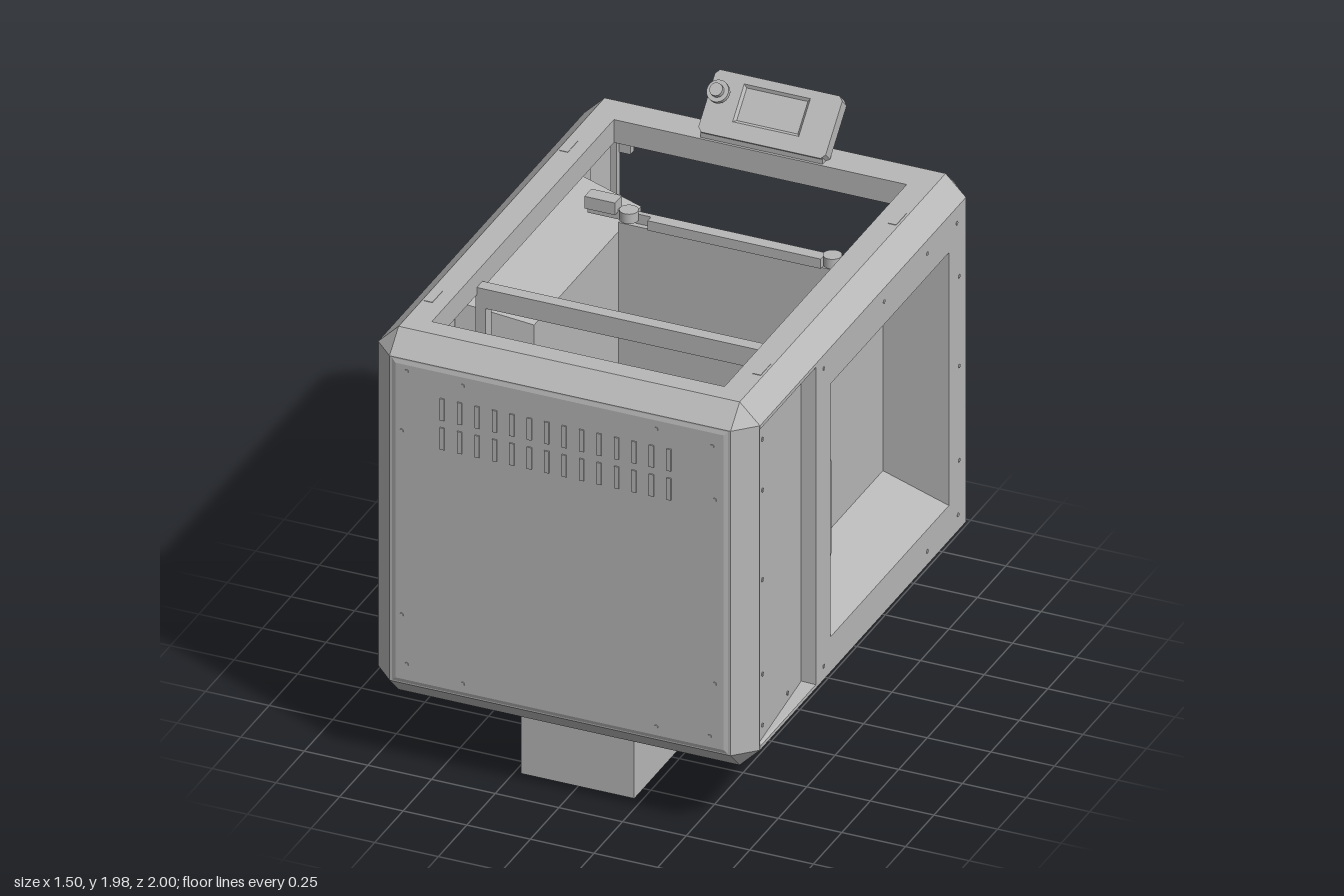
import * as THREE from 'three';

const grey = new THREE.MeshStandardMaterial({ color: 0xb8b8b8, side: THREE.DoubleSide });
grey.name = 'panel grey';

export function createModel() {
  const root = new THREE.Group();
  root.name = 'enclosedPrinter';

  const add = (name, geo, x = 0, y = 0, z = 0, parent = root) => {
    const m = new THREE.Mesh(geo, grey);
    m.name = name;
    m.position.set(x, y, z);
    parent.add(m);
    return m;
  };
  // box given by its limits on each axis
  const box = (name, x0, x1, y0, y1, z0, z1, parent = root) =>
    add(name, new THREE.BoxGeometry(x1 - x0, y1 - y0, z1 - z0), (x0 + x1) / 2, (y0 + y1) / 2, (z0 + z1) / 2, parent);
  const rod = (name, r, len, axis, x, y, z, parent = root, sides = 24) => {
    const m = add(name, new THREE.CylinderGeometry(r, r, len, sides), x, y, z, parent);
    if (axis === 'x') m.rotation.z = Math.PI / 2;
    if (axis === 'z') m.rotation.x = Math.PI / 2;
    return m;
  };
  const rect = (u0, u1, v0, v1) => [[u0, v0], [u1, v0], [u1, v1], [u0, v1]];
  const toPath = (pts, P) => new P(pts.map(p => new THREE.Vector2(...p)));
  const hexagon = (u, v, r) => Array.from({ length: 6 }, (_, i) =>
    [u + r * Math.sin(i * Math.PI / 3), v + r * Math.cos(i * Math.PI / 3)]);
  // flat sheet with cut-outs
  const sheet = (outline, holes, depth) => {
    const s = toPath(outline, THREE.Shape);
    s.holes = holes.map(h => toPath(h, THREE.Path));
    return new THREE.ExtrudeGeometry(s, { depth, bevelEnabled: false });
  };
  // faces from polygons
  const faces = polys => {
    const v = [];
    for (const p of polys) for (let i = 2; i < p.length; i++) v.push(...p[0], ...p[i - 1], ...p[i]);
    const g = new THREE.BufferGeometry();
    g.setAttribute('position', new THREE.Float32BufferAttribute(v, 3));
    g.computeVertexNormals();
    return g;
  };
  // walls between two loops, closed by the second loop
  const loft = (a, b, cap = true) => {
    const polys = a.map((p, i) => [p, a[(i + 1) % a.length], b[(i + 1) % a.length], b[i]]);
    if (cap) polys.push(b);
    return faces(polys);
  };
  const at = (r, z) => r.map(([x, y]) => [x, y, z]);
  const flat = (r, y) => r.map(([x, z]) => [x, y, z]);

  // chamfered edges and corners of the cabinet
  const h = [0.75, 0.75, 0.985], mid = [0, 1.035, 0.005], c = 0.08, polys = [];
  const point = (signs, full) => signs.map((s, i) => mid[i] + s * (full === i ? h[i] : h[i] - c));
  for (const s of [-1, 1]) for (const t of [-1, 1]) {
    for (let i = 0; i < 3; i++) {
      const j = (i + 1) % 3, k = (i + 2) % 3, lo = [], hi = [];
      lo[i] = -1; hi[i] = 1; lo[j] = hi[j] = s; lo[k] = hi[k] = t;
      polys.push([point(lo, j), point(hi, j), point(hi, k), point(lo, k)]);
    }
    for (const u of [-1, 1]) polys.push([0, 1, 2].map(i => point([s, t, u], i)));
  }
  add('cabinetEdges', faces(polys));

  // front wall, raised front panel and louvres
  add('frontWall', sheet(rect(-0.67, 0.67, 0.365, 1.705), [], 0.03), 0, 0, 0.96);
  add('frontPanel', loft(at(rect(-0.66, 0.66, 0.37, 1.7), 0.99), at(rect(-0.645, 0.645, 0.385, 1.685), 0.995)));
  for (const y of [1.535, 1.415]) for (let i = 0; i < 14; i++) {
    const x = -0.46 + i * 0.0685;
    box('frontLouvre', x - 0.009, x + 0.009, y - 0.045, y + 0.045, 0.95, 1.0);
  }
  for (const [x, y] of [[-0.6, 1.66], [-0.38, 1.65], [0.38, 1.65], [0.6, 1.63], [-0.62, 1.41], [0.61, 1.41],
    [-0.62, 0.65], [0.61, 0.65], [-0.6, 0.45], [-0.38, 0.42], [0.38, 0.42], [0.59, 0.43]])
    rod('frontScrew', 0.008, 0.006, 'z', x, y, 0.996, root, 10);

  // top frame with folded lips
  add('topFrame', sheet(rect(-0.67, 0.67, -0.9, 0.91), [rect(-0.575, 0.575, -0.77, 0.83)], 0.05), 0, 1.785, 0)
    .rotation.x = Math.PI / 2;
  box('topRearLip', -0.575, 0.575, 1.69, 1.74, -0.79, -0.77);
  box('topFrontLip', -0.575, 0.575, 1.69, 1.74, 0.83, 0.85);

  // open back with L-shaped corner plates
  add('backFrame', sheet(rect(-0.67, 0.67, 0.365, 1.705), [rect(-0.645, 0.645, 0.385, 1.67)], 0.03), 0, 0, -0.98);
  const ell = [[0, 0], [0.17, 0], [0.17, 0.05], [0.05, 0.05], [0.05, 0.17], [0, 0.17]];
  for (const s of [-1, 1]) for (const t of [-1, 1])
    add('backCornerPlate', sheet(ell.map(([u, v]) => [s * (0.65 - u), 1.04 + t * (0.66 - v)]), [], 0.03), 0, 0, -1);

  // both sides: frame, deep pocket, slanted front cover, handle
  for (const s of [-1, 1]) {
    const pocket = rect(-0.75, 0.29, 0.51, 1.555), cover = rect(0.42, 0.91, 0.38, 1.69);
    const wall = add('sideWall', sheet(rect(-0.9, 0.912, 0.365, 1.705), [pocket, cover], 0.025), s > 0 ? 0.75 : -0.725, 0, 0);
    wall.rotation.y = -Math.PI / 2;
    const onX = (r, x) => r.map(([z, y]) => [s * x, y, z]);
    add('sidePocket', loft(onX(pocket, 0.75), onX(rect(-0.74, 0.2, 0.6, 1.47), s > 0 ? 0.495 : 0.455)));
    add('slantedCover', loft(onX(cover, 0.75),
      rect(0.425, 0.905, 0.385, 1.685).map(([z, y]) => [s * (z < 0.6 ? 0.695 : 0.74), y, z])));
    const grip = [[0.288, 0.75], [0.235, 0.83], [0.235, 1.2], [0.288, 1.285]];
    add('handle', loft(onX(grip, 0.73), onX(grip, 0.705)));
    add('handleFace', faces([onX(grip, 0.73)]));
    for (const [z, y] of [[0.86, 1.62], [0.58, 1.65], [0.86, 1.41], [0.86, 1.04], [0.86, 0.65], [0.86, 0.44], [0.58, 0.42]])
      rod('coverScrew', 0.008, 0.012, 'x', s * (0.738 - (0.905 - z) * 0.094), y, z, root, 10);
    for (const [z, y] of [[0.35, 1.65], [-0.18, 1.65], [-0.56, 1.65], [-0.82, 1.64], [-0.84, 1.41],
      [-0.84, 1.04], [-0.84, 0.65], [-0.83, 0.43], [-0.56, 0.42], [0.35, 0.42]])
      rod('sideScrew', 0.008, 0.005, 'x', s * 0.7495, y, z, root, 10);
    // folded lip, upright gantry rails, bed hangers and lid latches
    box('topSideLip', s * 0.585 - 0.01, s * 0.585 + 0.01, 1.69, 1.74, -0.77, 0.83);
    box('uprightRail', s * 0.56 - 0.02, s * 0.56 + 0.02, 0.46, 1.65, 0.385, 0.435);
    box('bedHanger', s * 0.51 - 0.06, s * 0.51 + 0.06, 1.56, 1.61, -0.56, -0.5);
    rod('bedPulley', 0.035, 0.04, 'y', s * 0.4, 1.57, -0.51);
    for (const z of [-0.53, 0.66]) box('topLatch', s * 0.645 - 0.016, s * 0.645 + 0.016, 1.775, 1.787, z - 0.045, z + 0.045);
  }

  // spool holder in one pocket
  rod('spoolArm', 0.06, 0.27, 'x', -0.59, 1.0, -0.3);
  rod('spoolFlange', 0.085, 0.025, 'x', -0.728, 1.0, -0.3);
  rod('spoolBase', 0.08, 0.02, 'x', -0.465, 1.0, -0.3);

  // underside: rim, recess and vented plate
  const recess = rect(-0.62, 0.62, -0.86, 0.37);
  add('bottomRim', sheet(rect(-0.67, 0.67, -0.9, 0.91), [recess], 0.02), 0, 0.305, 0).rotation.x = Math.PI / 2;
  add('bottomRecess', loft(flat(recess, 0.285), flat(recess, 0.325), false));
  const cuts = [rect(-0.2, 0.06, -0.84, 0.16)];
  for (const x of [-0.5, -0.35, 0.31, 0.46]) for (let i = 0; i < 18; i++) {
    const z = -0.68 + i * 0.05;
    cuts.push(rect(x - 0.06, x + 0.06, z - 0.012, z + 0.012));
  }
  add('ventedPlate', sheet(recess, cuts, 0.01), 0, 0.335, 0).rotation.x = Math.PI / 2;
  // slotted power supply wall inside the opening
  const slots = Array.from({ length: 15 }, (_, i) => rect(-0.81 + i * 0.064, -0.785 + i * 0.064, 0.335, 0.41));
  add('supplyWall', sheet(rect(-0.84, 0.16, 0.305, 0.44), slots, 0.012), -0.188, 0, 0).rotation.y = -Math.PI / 2;
  box('underFoot', -0.2, -0.05, 0.26, 0.335, -0.58, -0.43);

  // exhaust box with a grille at its rear
  box('exhaustBox', -0.225, 0.22, 0, 0.29, 0.385, 0.83);
  for (let i = 0; i < 5; i++) for (let j = 0; j < 4; j++)
    rod('exhaustGrille', 0.016, 0.006, 'z', -0.08 + i * 0.04 + (j % 2) * 0.02, 0.1 + j * 0.036, 0.384, root, 6);

  // inner floor with sockets at its rear, honeycomb intake
  box('innerFloor', -0.67, 0.67, 0.445, 0.46, -0.9, 0.96);
  box('floorRearWall', -0.67, 0.67, 0.375, 0.46, -0.91, -0.9);
  box('floorRearLedge', -0.67, 0.67, 0.37, 0.385, -0.97, -0.9);
  for (const x of [0.35, 0.45]) box('rearSocket', x - 0.035, x + 0.035, 0.395, 0.445, -0.918, -0.91);
  const comb = [];
  for (let j = 0; j < 5; j++) for (let i = 0; i < 10; i++)
    comb.push(hexagon(-0.2 + i * 0.042 + (j % 2) * 0.021, 0.56 + j * 0.036, 0.02));
  add('honeycombIntake', sheet(rect(-0.235, 0.23, 0.53, 0.735), comb, 0.01), 0, 0.475, 0).rotation.x = Math.PI / 2;

  // bed drive: motor, screw and mount
  box('driveMotor', 0.03, 0.15, 0.46, 0.58, -0.87, -0.75);
  rod('driveCoupling', 0.04, 0.06, 'z', 0.02, 0.54, -0.7);
  rod('driveScrew', 0.015, 1.15, 'z', 0.02, 0.54, -0.19);
  box('driveMount', -0.08, 0.12, 0.46, 0.59, 0.34, 0.385);
  box('driveBracket', 0.28, 0.36, 0.56, 0.7, -0.66, -0.54);

  // upright print bed with stiffening panels on its rear
  box('printBed', -0.44, 0.45, 0.5, 1.53, -0.525, -0.505);
  box('bedTopBar', -0.57, 0.57, 1.53, 1.57, -0.545, -0.525);
  box('bedClampBar', -0.32, 0.36, 1.53, 1.57, -0.525, -0.495);
  for (const x of [-0.27, 0.3]) box('bedRearPanel', x - 0.12, x + 0.12, 0.66, 1.5, -0.535, -0.525);
  rod('bedNut', 0.045, 0.06, 'z', 0.02, 0.54, -0.53);

  // gantry beams, sliding rail and print head
  box('upperBeam', -0.58, 0.58, 1.64, 1.72, 0.385, 0.435);
  box('lowerBeam', -0.58, 0.58, 0.46, 0.5, 0.385, 0.435);
  box('slidingRail', -0.56, 0.56, 0.98, 1.02, 0.455, 0.535);
  for (let i = 0; i < 12; i++) rod('railBolt', 0.012, 0.01, 'y', -0.53 + i * 0.096, 1.022, 0.49, root, 12);
  box('headCarriage', -0.1, 0.08, 0.93, 1.04, 0.44, 0.57);
  box('headBody', -0.11, 0.05, 0.85, 1.03, 0.57, 0.74);
  rod('headFan', 0.045, 0.02, 'y', -0.035, 1.045, 0.5);
  box('headDuct', -0.1, 0.02, 0.83, 0.93, 0.74, 0.8);

  // tilted control display
  const display = new THREE.Group();
  display.name = 'display';
  display.position.set(0, 1.88, -0.87);
  display.rotation.x = -Math.PI / 4;
  root.add(display);
  const win = rect(-0.13, 0.13, -0.055, 0.09);
  const shell = [[-0.25, -0.1], [-0.235, -0.117], [0.235, -0.117], [0.25, -0.1],
    [0.25, 0.106], [0.235, 0.123], [-0.235, 0.123], [-0.25, 0.106]];
  add('displayCase', sheet(shell, [win], 0.055), 0, 0, -0.035, display);
  add('displayScreen', loft(at(win, 0.02), at(rect(-0.12, 0.12, -0.045, 0.08), 0.01)), 0, 0, 0, display);
  box('displayBack', -0.21, 0.21, -0.11, 0.095, -0.052, -0.034, display);
  rod('knobStem', 0.025, 0.03, 'z', -0.205, 0.035, 0.03, display);
  rod('knob', 0.042, 0.02, 'z', -0.205, 0.035, 0.05, display);
  rod('knobCap', 0.025, 0.03, 'z', -0.205, 0.035, 0.065, display);
  box('displayStand', -0.24, 0.24, 1.78, 1.81, -0.86, -0.78);

  return root;
}
